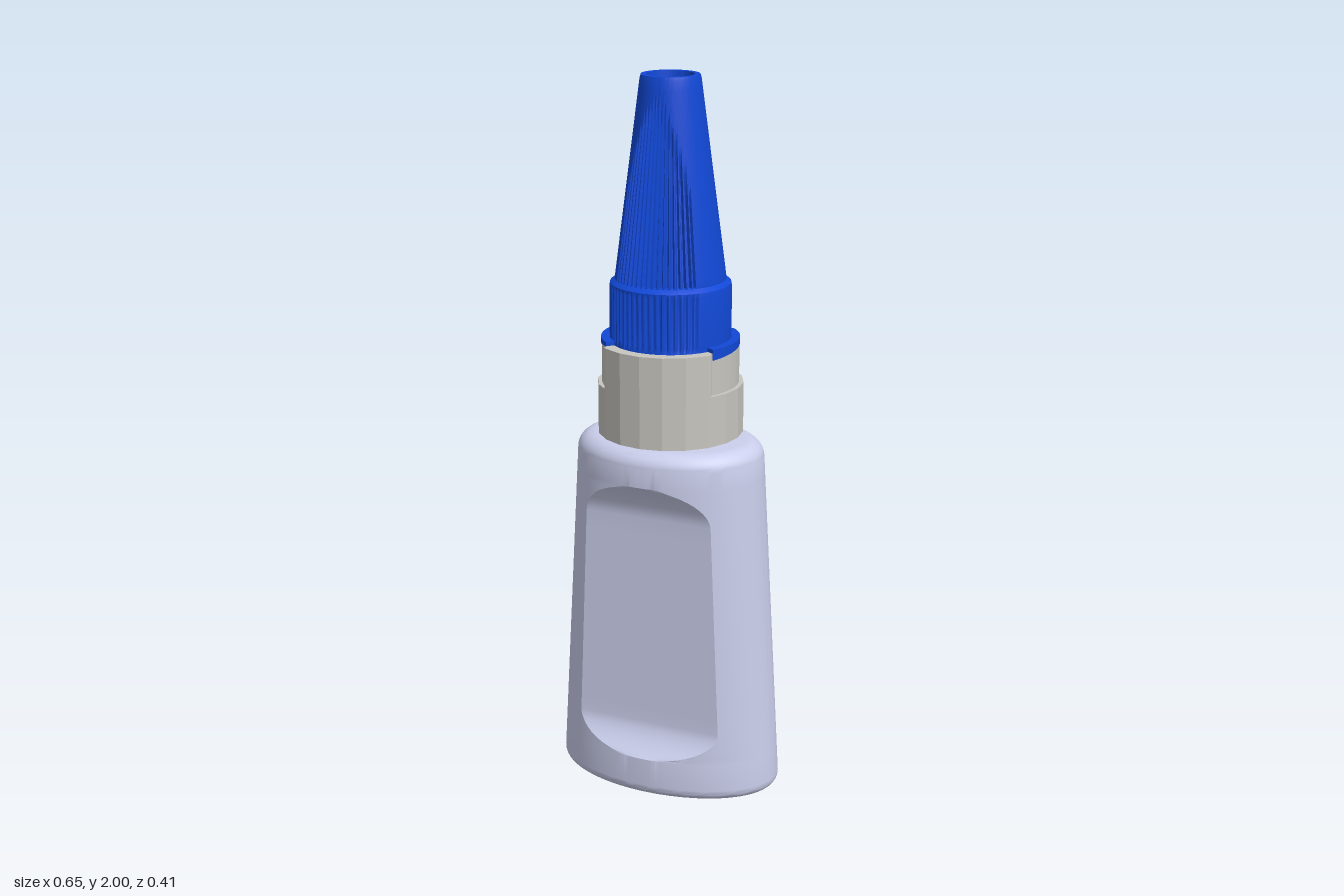
import * as THREE from 'three';
import { toCreasedNormals } from 'three/addons/utils/BufferGeometryUtils.js';

const material = (color) => new THREE.MeshStandardMaterial({ color });
const rad = THREE.MathUtils.degToRad;
const { clamp, lerp } = THREE.MathUtils;

// Closed skin through rows of n points; point(row, i) returns [x, y, z]
function loft(rows, n, point, crease) {
  const pos = [], idx = [];
  rows.forEach((row) => { for (let i = 0; i < n; i++) pos.push(...point(row, i)); });
  for (let j = 0; j < rows.length - 1; j++) {
    for (let i = 0; i < n; i++) {
      const a = j * n + i, b = j * n + (i + 1) % n;
      idx.push(a, a + n, b, b, a + n, b + n);
    }
  }
  const g = new THREE.BufferGeometry();
  g.setAttribute('position', new THREE.Float32BufferAttribute(pos, 3));
  g.setIndex(idx);
  return toCreasedNormals(g, crease);
}

// Oval bottle with a scooped flat grip on front and back
function bottleGeometry() {
  const H = 1.015, SIDE = 18, FLAT = 10, Q = SIDE + FLAT;
  const rows = [{ y: 0, inset: 1 }];
  const arc = (r, top) => {
    for (let k = 0; k <= 8; k++) {
      const t = (k / 8) * Math.PI / 2;
      rows.push(top
        ? { y: H - r + r * Math.sin(t), inset: r * (1 - Math.cos(t)) }
        : { y: r - r * Math.cos(t), inset: r * (1 - Math.sin(t)) });
    }
  };
  const span = (y0, y1, n) => {
    for (let k = 0; k <= n; k++) rows.push({ y: lerp(y0, y1, k / n), inset: 0 });
  };
  arc(0.035, false);
  span(0.115, 0.205, 10);
  span(0.25, 0.77, 6);
  span(0.815, 0.92, 10);
  arc(0.045, true);
  rows.push({ y: H, inset: 1 });

  // Depth limit of the grip, easing out to the full depth at both ends
  const limit = (y) => {
    const t = Math.max((0.205 - y) / 0.09, (y - 0.815) / 0.105, 0);
    return t > 1 ? 1 : 0.15 + 0.053 * t ** 1.8;
  };
  return loft(rows, Q * 4, ({ y, inset }, i) => {
    const a = Math.max(0, lerp(0.327, 0.264, y / H) - inset);
    const b = Math.max(0, 0.203 - inset);
    const L = limit(y);
    const edge = Math.min(Math.asin(Math.min(1, L / 0.203)), rad(80));
    const quad = Math.floor(i / Q), k = i % Q;
    const m = quad % 2 ? Q - k : k;
    const t = m <= SIDE ? edge * m / SIDE : lerp(edge, Math.PI / 2, (m - SIDE) / FLAT);
    const sx = quad === 0 || quad === 3 ? 1 : -1, sz = quad < 2 ? 1 : -1;
    return [sx * a * Math.cos(t), y, sz * Math.min(b * Math.sin(t), L)];
  }, rad(28));
}

// Tapered cap, ribbed on front and back, with a recessed tip
function capGeometry() {
  const N = 240;
  const rows = [[1.27, 0], [1.27, 0.155], [1.285, 0.155], [1.285, 0.165], [1.3, 0.165, 'skirt'],
    [1.435, 0.165, 'skirt'], [1.447, 0.163], [1.457, 0.15]];
  for (let k = 0; k <= 20; k++) {
    const t = k / 20;
    rows.push([lerp(1.46, 1.99, t), lerp(0.15, 0.081, t), 'cone']);
  }
  rows.push([2, 0.078], [2, 0.064], [1.95, 0.061], [1.95, 0.014],
    [1.962, 0.013], [1.968, 0.008], [1.97, 0]);
  return loft(rows, N, ([y, r, zone], i) => {
    const a = (i / N) * Math.PI * 2;
    const off = Math.abs(Math.asin(clamp(Math.abs(Math.cos(a)), 0, 1))) / rad(50);
    let R = r;
    if (zone && off < 1 && i % 4 > 1) {
      const top = 1.95 - 0.22 * off * off;
      R -= zone === 'skirt' ? 0.005 : 0.011 * clamp((top - y) / 0.08, 0, 1);
    }
    return [R * Math.cos(a), y, R * Math.sin(a)];
  }, rad(25));
}

// Flat outline in the x-z plane, extruded downwards from its top
function slab(points, depth, hole) {
  const shape = new THREE.Shape(points);
  if (hole) shape.holes.push(new THREE.Path().absarc(0, 0, hole, 0, Math.PI * 2, true));
  return new THREE.ExtrudeGeometry(shape, { depth, bevelEnabled: false, curveSegments: 32 })
    .rotateX(Math.PI / 2);
}
const polar = (r, a) => new THREE.Vector2(r * Math.cos(a), r * Math.sin(a));

export function createModel() {
  const model = new THREE.Group();
  const plastic = material(0xcaceeb), grey = material(0xc6c5bf), blue = material(0x1148d6);
  const add = (name, geometry, mat, y = 0, parent = model) => {
    const mesh = new THREE.Mesh(geometry, mat);
    mesh.name = name;
    mesh.position.y = y;
    parent.add(mesh);
    return mesh;
  };

  add('bottle', bottleGeometry(), plastic);
  add('neck', new THREE.CylinderGeometry(0.145, 0.145, 0.08, 48), plastic, 1.045);

  // Faceted collar; its upper half steps in at the sides to seat the cap lugs
  const collar = new THREE.Group();
  collar.name = 'collar';
  model.add(collar);
  const SIDES = 20, step = Math.PI * 2 / SIDES, from = -48, to = 29;
  const facet = (a) => {
    const local = ((a % step) + step) % step - step / 2;
    return 0.2 * Math.cos(step / 2) / Math.cos(local);
  };
  const lower = [], upper = [];
  for (let i = 0; i < SIDES; i++) lower.push(polar(0.2, i * step));
  for (let d = 0; d < 360; d += 3) {
    const side = ((d + 90) % 180) - 90;
    const a = rad(d);
    upper.push(polar(side > from - 2 && side < to + 2 ? 0.187 : facet(a), a));
  }
  add('collarLower', slab(lower, 0.14, 0.14), grey, 1.17, collar);
  add('collarUpper', slab(upper, 0.115, 0.145), grey, 1.285, collar);

  // Cap with a locking lug on each side
  const cap = new THREE.Group();
  cap.name = 'cap';
  model.add(cap);
  add('capBody', capGeometry(), blue, 0, cap);
  const lug = [];
  for (let k = 0; k <= 20; k++) lug.push(polar(0.1885, rad(lerp(from, to, k / 20))));
  for (let k = 20; k >= 0; k--) lug.push(polar(0.15, rad(lerp(from, to, k / 20))));
  const lugGeometry = slab(lug, 0.03);
  // Underside of the lug slopes so that it locks when turned
  const p = lugGeometry.attributes.position;
  for (let i = 0; i < p.count; i++) {
    if (p.getY(i) < -0.01) {
      const t = (THREE.MathUtils.radToDeg(Math.atan2(p.getZ(i), p.getX(i))) - from) / (to - from);
      p.setY(i, lerp(-0.012, -0.03, t));
    }
  }
  lugGeometry.computeVertexNormals();
  for (const turn of [0, Math.PI]) {
    add(turn ? 'lugRight' : 'lugLeft', lugGeometry, blue, 1.296, cap).rotation.y = turn;
  }
  return model;
}
